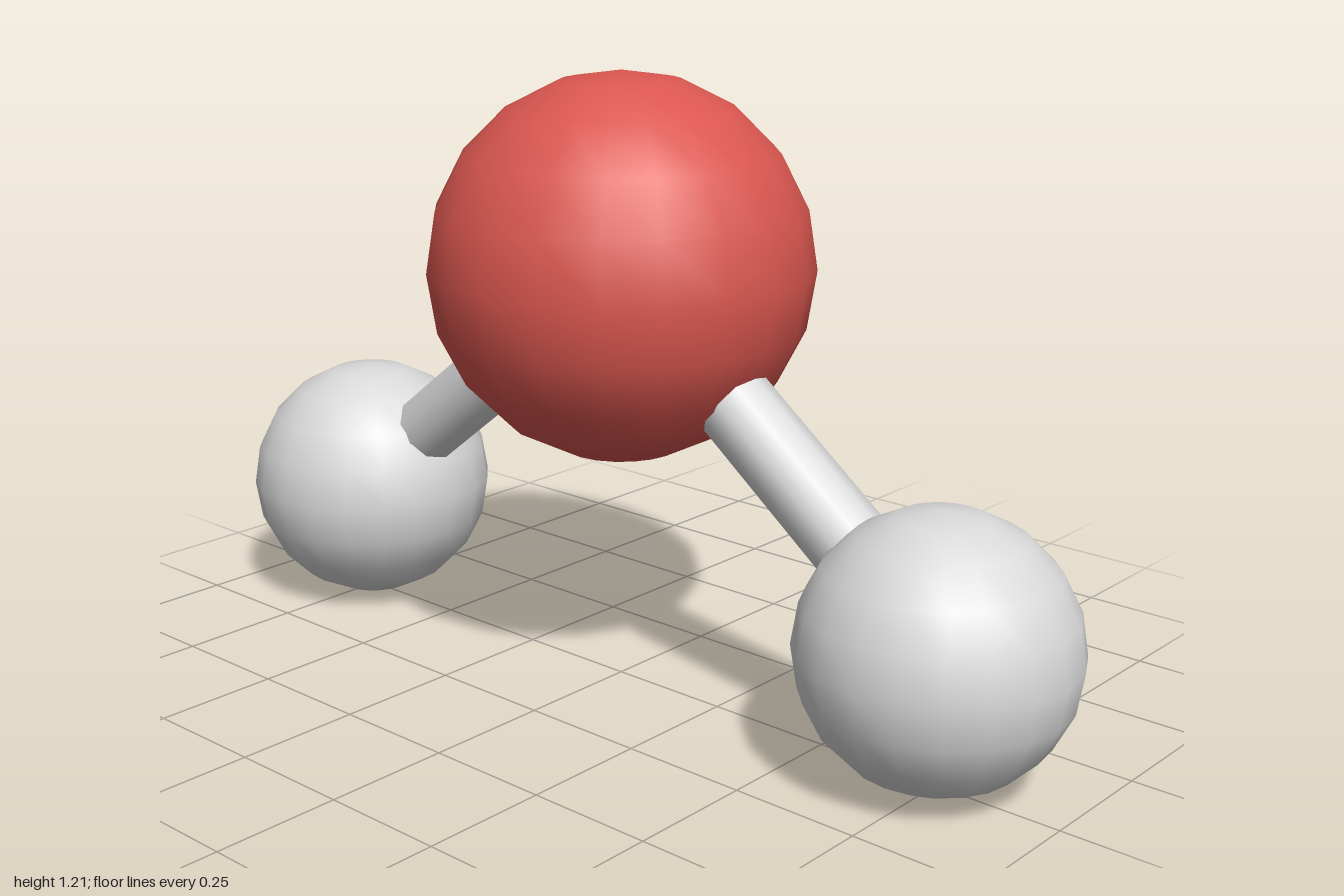
import * as THREE from 'three';

const red = new THREE.MeshStandardMaterial({ name: 'red', color: 0xdb5750 });
const paleGrey = new THREE.MeshStandardMaterial({ name: 'paleGrey', color: 0xd9d9d9 });

function ball(name, radius, material, position) {
  const mesh = new THREE.Mesh(new THREE.SphereGeometry(radius, 20, 10), material);
  mesh.name = name;
  mesh.position.copy(position);
  return mesh;
}

// Ten-sided rod between two points, with one ridge in the plane of the bend
function rod(name, radius, from, to) {
  const geometry = new THREE.CylinderGeometry(radius, radius, from.distanceTo(to), 10);
  geometry.rotateY(Math.PI / 2);
  const mesh = new THREE.Mesh(geometry, paleGrey);
  mesh.name = name;
  mesh.position.copy(from).lerp(to, 0.5);
  const direction = to.clone().sub(from).normalize();
  mesh.quaternion.setFromUnitVectors(new THREE.Vector3(0, 1, 0), direction);
  return mesh;
}

export function createModel() {
  const model = new THREE.Group();
  model.name = 'bentMolecule';

  // Large central atom
  const centre = new THREE.Vector3(0, 0.834, 0);
  model.add(ball('centralAtom', 0.373, red, centre));

  // Small outer atoms and their bonds, mirrored left and right
  for (const [side, sign] of [['left', 1], ['right', -1]]) {
    const outer = new THREE.Vector3(sign * 0.743, 0.257, 0);
    model.add(ball(side + 'Atom', 0.257, paleGrey, outer));
    model.add(rod(side + 'Bond', 0.075, centre, outer));
  }
  return model;
}
